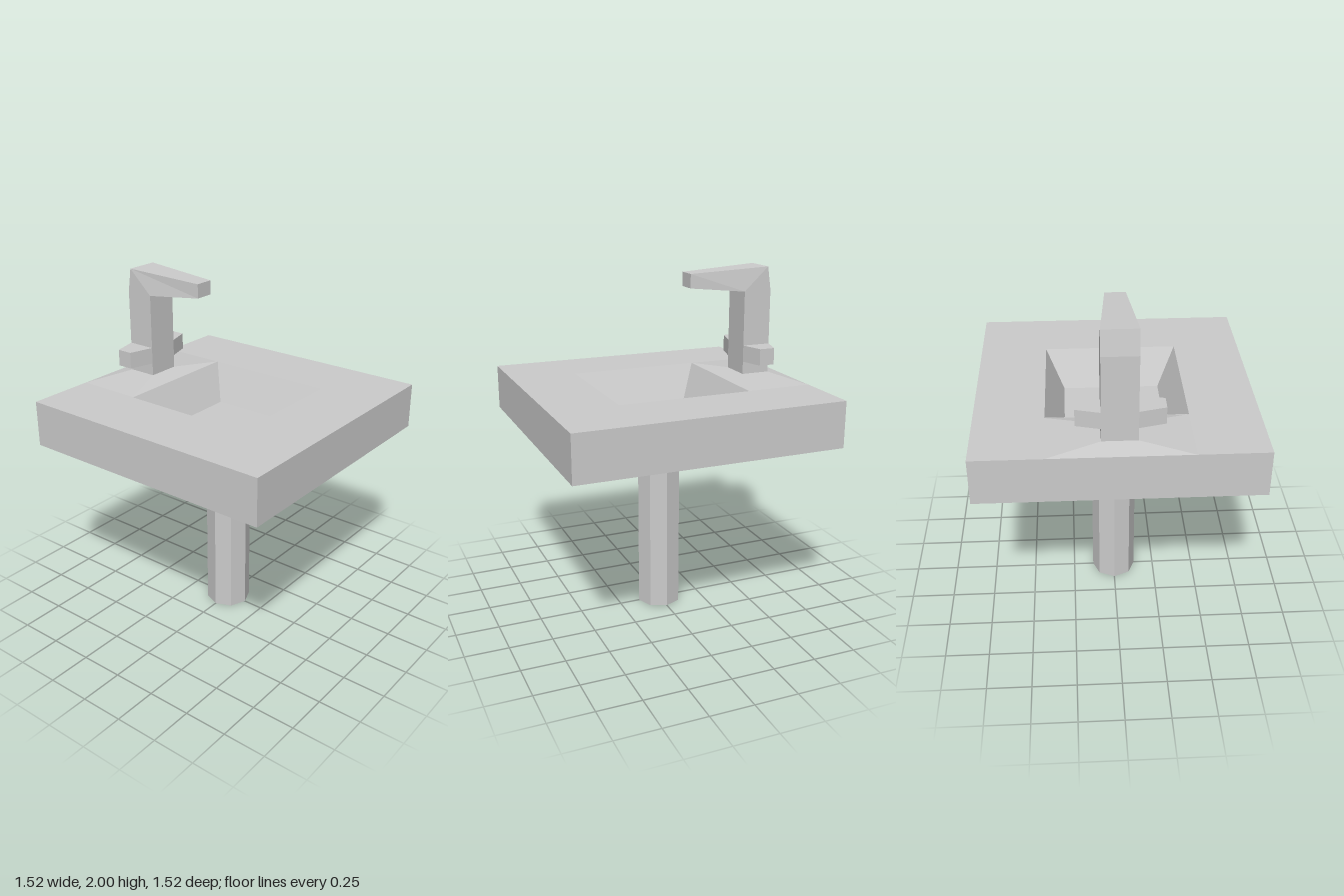
import * as THREE from 'three';

const material = new THREE.MeshStandardMaterial({ color: 0xcccccc, flatShading: true });
const openMaterial = new THREE.MeshStandardMaterial({ color: 0xcccccc, flatShading: true, side: THREE.DoubleSide });

// Skin a run of four-cornered rings, each counter-clockwise seen from the far end.
function loft(name, rings, capStart = true, capEnd = true) {
  const pos = [];
  const quad = (a, b, c, d) => pos.push(...a, ...b, ...c, ...a, ...c, ...d);
  for (let i = 0; i < rings.length - 1; i++) {
    const lo = rings[i], hi = rings[i + 1];
    for (let k = 0; k < 4; k++) {
      const n = (k + 1) % 4;
      quad(lo[k], lo[n], hi[n], hi[k]);
    }
  }
  if (capStart) quad(...[...rings[0]].reverse());
  if (capEnd) quad(...rings[rings.length - 1]);
  const geometry = new THREE.BufferGeometry();
  geometry.setAttribute('position', new THREE.Float32BufferAttribute(pos, 3));
  geometry.computeVertexNormals();
  const mesh = new THREE.Mesh(geometry, material);
  mesh.name = name;
  return mesh;
}

// Ring with two edges along z, at (x0, y0) and (x1, y1).
const ring = (x0, y0, x1, y1, halfZ) =>
  [[x0, y0, halfZ], [x1, y1, halfZ], [x1, y1, -halfZ], [x0, y0, -halfZ]];
// Level rectangle at height y.
const level = (x0, x1, halfZ, y) => ring(x0, y, x1, y, halfZ);
// Upright rectangle at depth z.
const upright = (x0, x1, y0, y1, z) => [[x0, y0, z], [x1, y0, z], [x1, y1, z], [x0, y1, z]];

export function createModel() {
  const model = new THREE.Group();
  const top = 1.363;

  // Square slab with a tapered bowl sunk into it
  const basin = loft('basin', [
    level(-0.762, 0.762, 0.762, 1.1),
    level(-0.762, 0.762, 0.762, top),
    level(-0.382, 0.382, 0.382, top),
    level(-0.28, 0.28, 0.28, 1.15),
  ]);

  // Eight-sided open drain pipe
  const pipe = new THREE.Mesh(new THREE.CylinderGeometry(0.13, 0.13, 1.1, 8, 1, true), openMaterial);
  pipe.name = 'drainPipe';
  pipe.position.y = 0.55;

  const tap = new THREE.Group();
  tap.name = 'tap';

  // Shallow raised foot under the tap
  tap.add(loft('tapFoot', [
    level(-0.762, -0.385, 0.38, top),
    level(-0.655, -0.49, 0.095, 1.387),
  ], false));

  // Column bending into a tapering spout
  tap.add(loft('spout', [
    level(-0.655, -0.49, 0.095, 1.385),
    level(-0.655, -0.49, 0.095, 1.865),
    ring(-0.635, 2, -0.49, 1.865, 0.095),
    ring(-0.17, 1.975, -0.17, 1.895, 0.055),
  ], false));

  // Pair of tapered handles passing through the column
  tap.add(loft('handles', [
    upright(-0.62, -0.53, 1.46, 1.555, -0.225),
    upright(-0.655, -0.49, 1.46, 1.555, -0.095),
    upright(-0.655, -0.49, 1.46, 1.555, 0.095),
    upright(-0.62, -0.53, 1.46, 1.555, 0.237),
  ]));

  model.add(basin, pipe, tap);
  return model;
}
